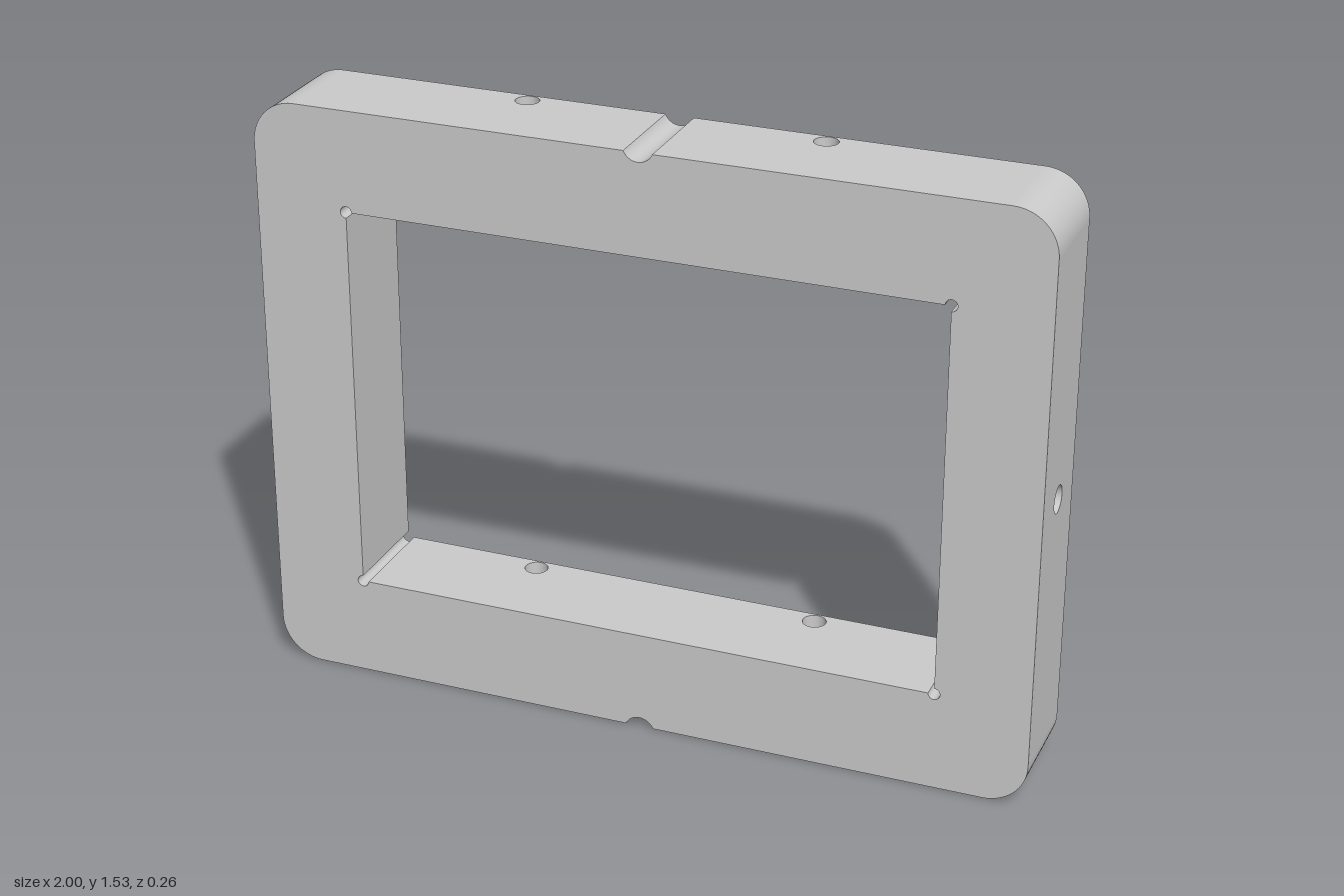
import * as THREE from 'three';
import { mergeGeometries } from 'three/addons/utils/BufferGeometryUtils.js';

const W = 1, H = 1.53, D = 0.132;            // half width, height, half depth
const R = 0.11;                              // outer corner radius
const IX = 0.76, IY0 = 0.26, IY1 = 1.27;     // window opening
const RELIEF = 0.015;                        // window corner relief radius
const NW = 0.036, ND = 0.024;                // notch half width and depth
const PX = 0.378, PZ = -0.097, PR = 0.03;    // vertical pin holes
const SR = 0.035, SDEPTH = 0.13;             // blind side holes

const V = (x, y) => new THREE.Vector2(x, y);

function arc(cx, cy, r, from, to, n) {
  return Array.from({ length: n + 1 }, (_, i) => {
    const a = from + (to - from) * i / n;
    return V(cx + r * Math.cos(a), cy + r * Math.sin(a));
  });
}

// Curved wall spanning the depth; material lies to the left of travel
function curvedWall(pts) {
  const pos = [], index = [];
  pts.forEach((p, i) => {
    pos.push(p.x, p.y, -D, p.x, p.y, D);
    if (i) {
      const a = 2 * i - 2, b = 2 * i;
      index.push(a, b, b + 1, a, b + 1, a + 1);
    }
  });
  const g = new THREE.BufferGeometry();
  g.setAttribute('position', new THREE.Float32BufferAttribute(pos, 3));
  g.setIndex(index);
  g.computeVertexNormals();
  g.setAttribute('uv', new THREE.Float32BufferAttribute(new Array(pts.length * 2).fill(0), 2));
  return g;
}

// Flat wall from a to b with round holes given as [x, y, z, radius]
function flatWall(a, b, holes = []) {
  const u = b.clone().sub(a), len = u.length();
  u.normalize();
  const s = new THREE.Shape([V(0, -D), V(len, -D), V(len, D), V(0, D)]);
  for (const [x, y, z, r] of holes) {
    const t = V(x, y).sub(a).dot(u);
    s.holes.push(new THREE.Path().absarc(t, z, r, 0, Math.PI * 2, true));
  }
  const m = new THREE.Matrix4().makeBasis(
    new THREE.Vector3(u.x, u.y, 0), new THREE.Vector3(0, 0, 1), new THREE.Vector3(u.y, -u.x, 0));
  m.setPosition(a.x, a.y, 0);
  return new THREE.ShapeGeometry(s, 16).applyMatrix4(m);
}

// Closed loop of arcs joined by flat walls; each flat may carry holes
function loopWalls(arcs, holes) {
  const geos = [];
  arcs.forEach((pts, i) => {
    const next = arcs[(i + 1) % arcs.length];
    geos.push(curvedWall(pts), flatWall(pts[pts.length - 1], next[0], holes[i]));
  });
  return mergeGeometries(geos);
}

export function createModel() {
  const group = new THREE.Group();
  const mat = new THREE.MeshStandardMaterial({ color: 0xcccccc });
  const boreMat = new THREE.MeshStandardMaterial({ color: 0xcccccc, side: THREE.DoubleSide });
  const add = (name, geo, m = mat) => {
    const mesh = new THREE.Mesh(geo, m);
    mesh.name = name;
    group.add(mesh);
    return mesh;
  };
  const q = Math.PI / 2;

  // Outer outline, counter-clockwise, with a notch in the bottom and top
  const nr = (NW * NW + ND * ND) / (2 * ND), off = nr - ND;
  const tilt = Math.asin(off / nr);
  const outer = [
    arc(0, -off, nr, Math.PI - tilt, tilt, 16),
    arc(W - R, R, R, -q, 0, 16),
    arc(W - R, H - R, R, 0, q, 16),
    arc(0, H + off, nr, -tilt, -Math.PI + tilt, 16),
    arc(-W + R, H - R, R, q, 2 * q, 16),
    arc(-W + R, R, R, 2 * q, 3 * q, 16),
  ];
  // Window outline, clockwise, with round corner reliefs
  const inner = [
    arc(-IX, IY0, RELIEF, 4 * q, q, 18),
    arc(-IX, IY1, RELIEF, 3 * q, 0, 18),
    arc(IX, IY1, RELIEF, 2 * q, -q, 18),
    arc(IX, IY0, RELIEF, q, -2 * q, 18),
  ];
  const pin = (x, y) => [x, y, PZ, PR];
  const side = x => [x, H / 2, 0, SR];

  add('outerWalls', loopWalls(outer, [
    [pin(PX, 0)], [side(W)], [pin(PX, H)], [pin(-PX, H)], [side(-W)], [pin(-PX, 0)],
  ]));
  add('windowWalls', loopWalls(inner, [
    [], [pin(-PX, IY1), pin(PX, IY1)], [], [pin(-PX, IY0), pin(PX, IY0)],
  ]));

  // Front and back faces
  const face = new THREE.Shape(outer.flat());
  face.holes.push(new THREE.Path(inner.flat()));
  add('frontFace', new THREE.ShapeGeometry(face)).position.z = D;
  const back = add('backFace', new THREE.ShapeGeometry(face));
  back.rotation.y = Math.PI;
  back.position.z = -D;

  for (const s of [-1, 1]) {
    // Pin holes through the lower and upper rails
    for (const [y0, y1] of [[0, IY0], [IY1, H]]) {
      const bore = add('pinHole', new THREE.CylinderGeometry(PR, PR, y1 - y0, 32, 1, true), boreMat);
      bore.position.set(s * PX, (y0 + y1) / 2, PZ);
    }
    // Blind hole in each side
    const bore = add('sideHole', new THREE.CylinderGeometry(SR, SR, SDEPTH, 32, 1, true), boreMat);
    bore.rotation.z = q;
    bore.position.set(s * (W - SDEPTH / 2), H / 2, 0);
    const end = add('sideHoleEnd', new THREE.CircleGeometry(SR, 32));
    end.rotation.y = s * q;
    end.position.set(s * (W - SDEPTH), H / 2, 0);
  }
  return group;
}
